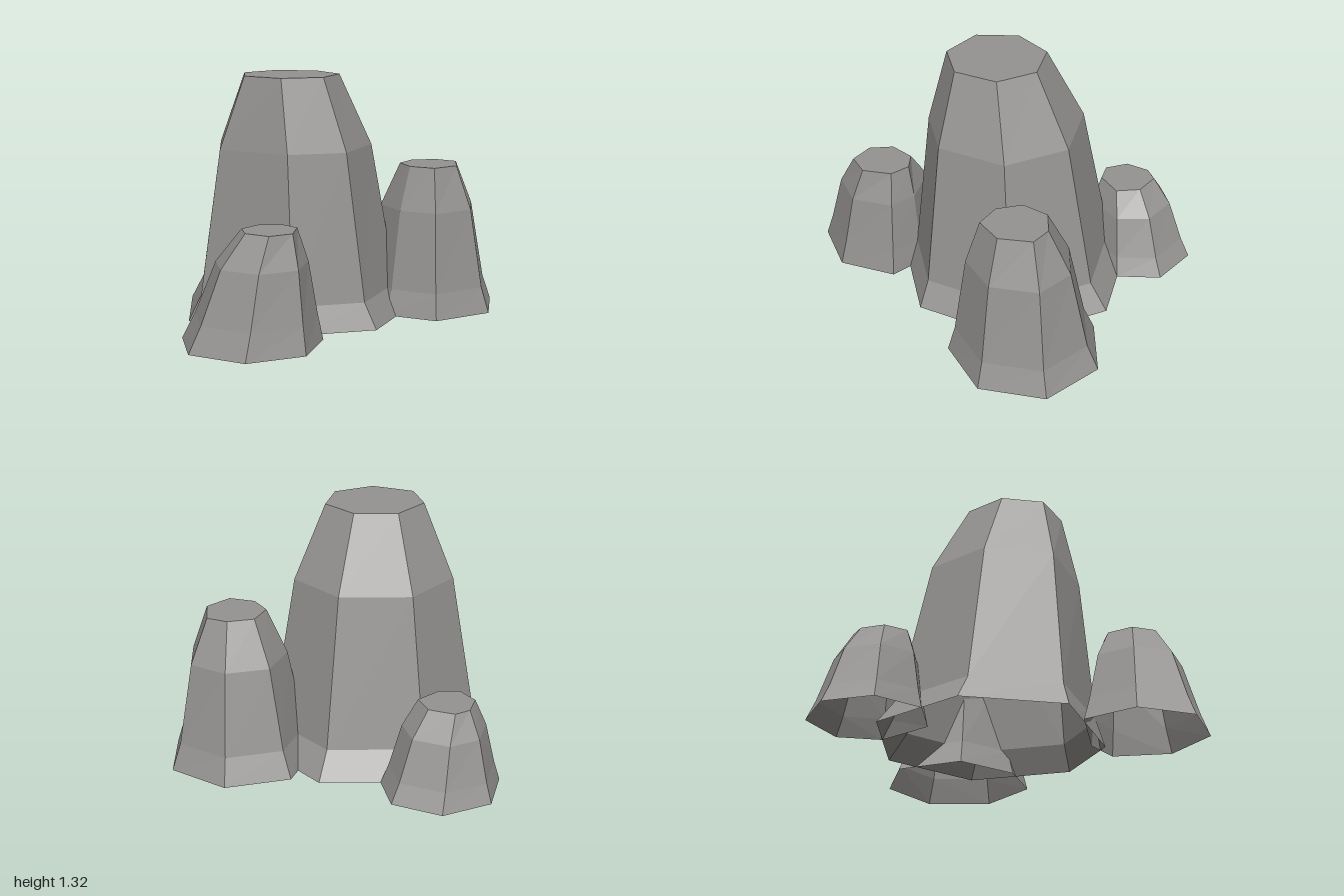
import * as THREE from 'three';

// Each rock: height, height of the lower ring, and seven [x, z] corners at the foot and the top
const ROCKS = [
  {
    name: 'mainRock', height: 1.32, low: 0.14,
    foot: [[0.745, -0.02], [0.5, 0.48], [-0.06, 0.6], [-0.4, 0.32], [-0.485, -0.33], [-0.04, -0.67], [0.5, -0.55]],
    top: [[0.255, 0], [0.16, 0.21], [-0.075, 0.265], [-0.255, 0.12], [-0.255, -0.12], [-0.07, -0.26], [0.16, -0.21]],
  },
  {
    name: 'frontLeftRock', height: 0.81, low: 0.14,
    foot: [[0.77, 0.13], [0.995, 0.4], [0.93, 0.75], [0.61, 0.91], [0.285, 0.765], [0.235, 0.48], [0.4, 0.17]],
    top: [[0.64, 0.39], [0.73, 0.5], [0.73, 0.62], [0.575, 0.71], [0.42, 0.66], [0.405, 0.515], [0.49, 0.4]],
  },
  {
    name: 'frontRightRock', height: 0.59, low: 0.14,
    foot: [[-0.77, -0.14], [-0.465, -0.105], [-0.34, 0.27], [-0.375, 0.475], [-0.68, 0.58], [-0.96, 0.415], [-1, 0.09]],
    top: [[-0.645, 0.155], [-0.5, 0.165], [-0.435, 0.255], [-0.46, 0.37], [-0.605, 0.445], [-0.73, 0.39], [-0.74, 0.25]],
  },
  {
    name: 'backRock', height: 0.445, low: 0.1,
    foot: [[0.595, -0.915], [0.81, -0.735], [0.805, -0.455], [0.61, -0.31], [0.3, -0.37], [0.195, -0.615], [0.32, -0.86]],
    top: [[0.49, -0.75], [0.565, -0.7], [0.57, -0.555], [0.475, -0.46], [0.33, -0.52], [0.29, -0.62], [0.36, -0.73]],
  },
];

// Bulging faceted stack of four rings with a flat top and an open foot
function rockGeometry({ height, low, foot, top }) {
  const n = foot.length;
  const levels = [[0, 0], [low, 0.22], [height * 0.705, 0.57], [height, 1]]; // [y, blend from foot to top]
  const positions = [];
  const index = [];
  for (const [y, t] of levels) {
    foot.forEach(([x, z], i) => {
      positions.push(THREE.MathUtils.lerp(x, top[i][0], t), y, THREE.MathUtils.lerp(z, top[i][1], t));
    });
  }
  for (let r = 0; r < levels.length - 1; r++) {
    for (let i = 0; i < n; i++) {
      const a = r * n + i;
      const b = r * n + ((i + 1) % n);
      index.push(a, a + n, b, b, a + n, b + n);
    }
  }
  const cap = (levels.length - 1) * n;
  for (let i = 1; i < n - 1; i++) index.push(cap, cap + i + 1, cap + i);

  const indexed = new THREE.BufferGeometry();
  indexed.setAttribute('position', new THREE.Float32BufferAttribute(positions, 3));
  indexed.setIndex(index);
  const geometry = indexed.toNonIndexed();
  geometry.computeVertexNormals();
  return geometry;
}

export function createModel() {
  const group = new THREE.Group();
  group.name = 'rockCluster';
  const stone = new THREE.MeshStandardMaterial({ color: 0x969492, flatShading: true, side: THREE.DoubleSide });
  stone.name = 'grey stone';
  for (const rock of ROCKS) {
    const mesh = new THREE.Mesh(rockGeometry(rock), stone);
    mesh.name = rock.name;
    group.add(mesh);
  }
  return group;
}
